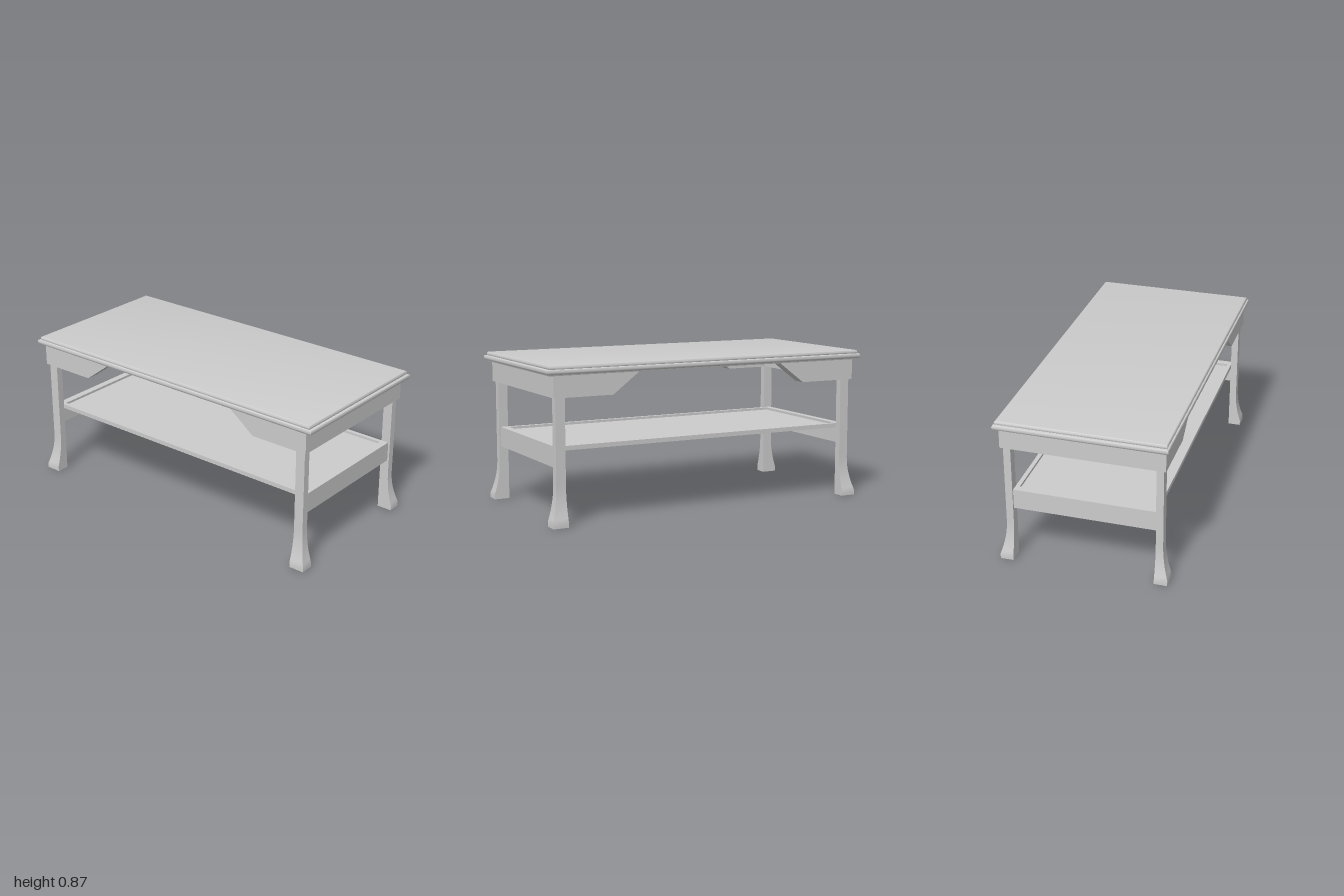
import * as THREE from 'three';
import { toCreasedNormals } from 'three/addons/utils/BufferGeometryUtils.js';

const material = new THREE.MeshStandardMaterial({ color: 0xcccccc });

// Solid through rectangular sections [x0, x1, z0, z1, y], listed from bottom to top
function loft(sections) {
  const pos = [], idx = [];
  sections.forEach(([x0, x1, z0, z1, y], i) => {
    pos.push(x0, y, z1, x1, y, z1, x1, y, z0, x0, y, z0);
    if (i === 0) return;
    const a = (i - 1) * 4, b = i * 4;
    for (let k = 0; k < 4; k++) {
      const n = (k + 1) % 4;
      idx.push(a + k, a + n, b + n, a + k, b + n, b + k);
    }
  });
  const t = (sections.length - 1) * 4;
  idx.push(0, 2, 1, 0, 3, 2, t, t + 1, t + 2, t, t + 2, t + 3);
  const g = new THREE.BufferGeometry();
  g.setAttribute('position', new THREE.Float32BufferAttribute(pos, 3));
  g.setIndex(idx);
  return toCreasedNormals(g, 0.6);
}

// Centred slab with a moulded edge: profile of [inset, y]
const slab = (hx, hz, profile) =>
  loft(profile.map(([d, y]) => [-hx + d, hx - d, -hz + d, hz - d, y]));

export function createModel() {
  const table = new THREE.Group();
  table.name = 'coffeeTable';

  const add = (name, geometry) => {
    const mesh = new THREE.Mesh(geometry, material);
    mesh.name = name;
    table.add(mesh);
    return mesh;
  };
  const box = (name, x0, x1, y0, y1, z0, z1) =>
    add(name, new THREE.BoxGeometry(x1 - x0, y1 - y0, z1 - z0))
      .position.set((x0 + x1) / 2, (y0 + y1) / 2, (z0 + z1) / 2);

  // Moulded two-step top
  add('topLowerMoulding', slab(1, 0.478, [
    [0.019, 0.815], [0.017, 0.821], [0.005, 0.823], [0.001, 0.828],
    [0, 0.834], [0, 0.842], [0.002, 0.847], [0.007, 0.85]]));
  add('topUpperSlab', slab(0.984, 0.469, [
    [0.002, 0.849], [0, 0.853], [0, 0.86], [0.002, 0.866], [0.005, 0.869], [0.009, 0.87]]));

  // Angled brackets left and right, along the front and back
  const bracket = new THREE.Shape([
    [0.957, 0.697], [0.957, 0.817], [0.45, 0.817], [0.61, 0.697],
  ].map(([x, y]) => new THREE.Vector2(x, y)));
  const bracketGeometry = new THREE.ExtrudeGeometry(bracket, { depth: 0.075, bevelEnabled: false });

  for (const sx of [1, -1]) {
    const side = sx > 0 ? 'left' : 'right';
    const span = (a, b) => (sx > 0 ? [a, b] : [-b, -a]);

    // End apron and end stretcher
    box(side + 'EndApron', ...span(0.882, 0.957), 0.697, 0.817, -0.382, 0.382);
    box(side + 'Stretcher', ...span(0.89, 0.932), 0.315, 0.43, -0.402, 0.402);

    for (const sz of [1, -1]) {
      const end = sz > 0 ? 'Front' : 'Back';

      const m = add(side + end + 'Bracket', bracketGeometry);
      // Turning half a circle about y swaps both signs, so depth is offset to suit
      m.rotation.y = sx > 0 ? 0 : Math.PI;
      m.position.z = (sz > 0 ? 0.382 : -0.457) + (sx > 0 ? 0 : 0.075);

      // Leg: straight inner faces, outer faces flaring to the foot
      const sections = [0, 0.03, 0.05, 0.07, 0.09, 0.11, 0.13, 0.15, 0.17, 0.2, 0.23, 0.7].map((y) => {
        const t = THREE.MathUtils.clamp((0.23 - y) / 0.2, 0, 1);
        const flare = 0.034 * t * t;
        const [z0, z1] = sz > 0 ? [0.402, 0.443 + flare] : [-0.443 - flare, -0.402];
        return [...span(0.887, 0.943 + flare), z0, z1, y];
      });
      add(side + end + 'Leg', loft(sections));
    }
  }

  // Shelf: sunken panel with a raised rim
  box('shelfPanel', -0.89, 0.89, 0.405, 0.416, -0.385, 0.385);
  for (const sz of [1, -1]) {
    const [z0, z1] = sz > 0 ? [0.378, 0.402] : [-0.402, -0.378];
    box(sz > 0 ? 'shelfFrontRail' : 'shelfBackRail', -0.895, 0.895, 0.405, 0.43, z0, z1);
  }
  return table;
}
